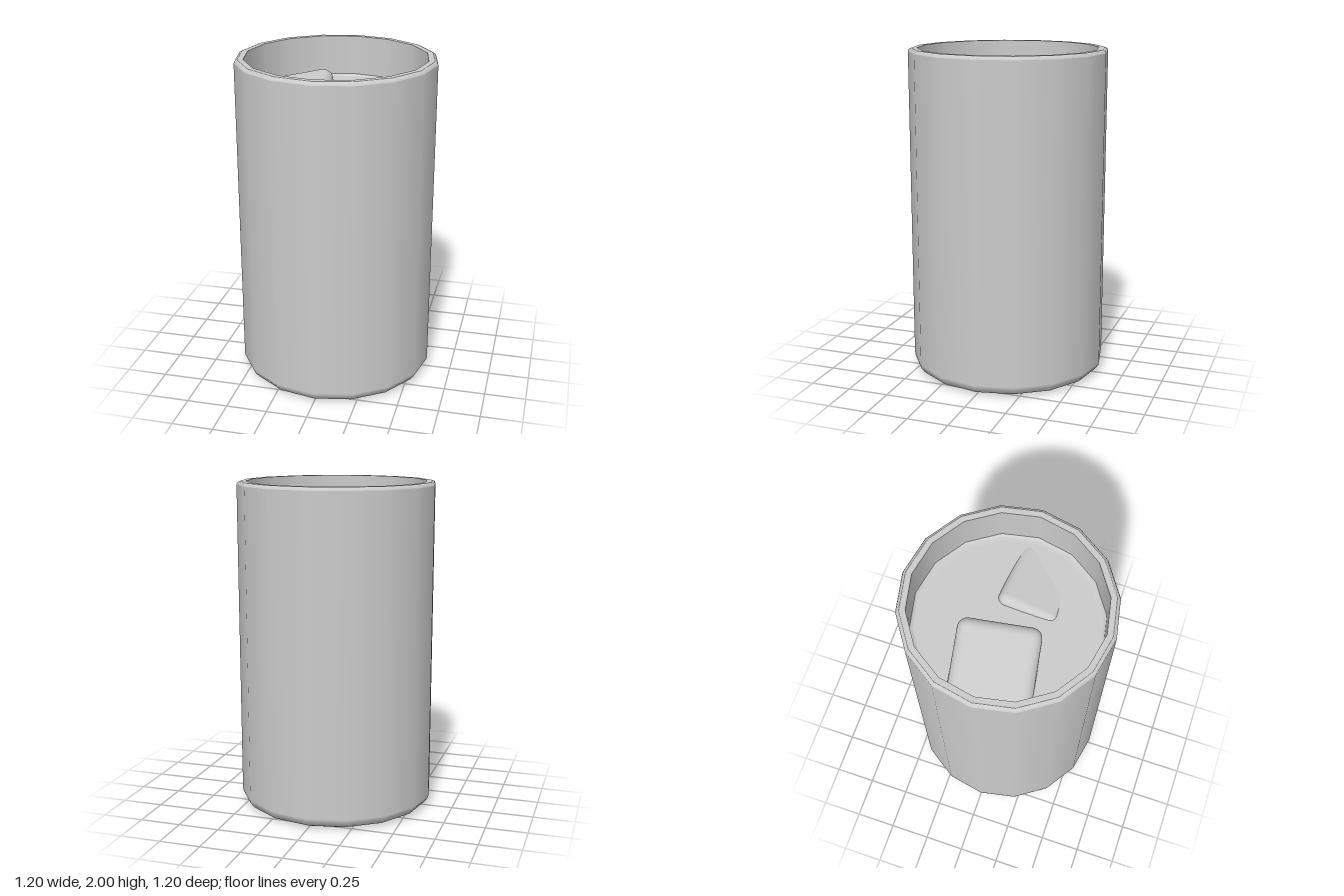
import * as THREE from 'three';
import { mergeGeometries } from 'three/addons/utils/BufferGeometryUtils.js';
import { RoundedBoxGeometry } from 'three/addons/geometries/RoundedBoxGeometry.js';

const SIDES = 16;
const LIQUID = 1.745;
const material = new THREE.MeshStandardMaterial({ color: 0xcccccc });

// Each section is smooth in itself; the joins between sections stay sharp.
function lathe(sections) {
  return mergeGeometries(sections.map((points) =>
    new THREE.LatheGeometry(points.map(([r, y]) => new THREE.Vector2(r, y)), SIDES)));
}

function part(name, geometry) {
  const mesh = new THREE.Mesh(geometry, material);
  mesh.name = name;
  return mesh;
}

export function createModel() {
  const group = new THREE.Group();
  group.name = 'glassOfIcedDrink';

  // Tumbler: base, rounded foot and wall, rim, inside wall and floor
  group.add(part('glass', lathe([
    [[0, 0], [0.53, 0]],
    [[0.53, 0], [0.575, 0.02], [0.597, 0.05], [0.6, 0.07], [0.6, 1.98]],
    [[0.6, 1.98], [0.594, 1.994], [0.58, 2]],
    [[0.58, 2], [0.545, 2]],
    [[0.545, 2], [0.545, 0.1]],
    [[0.545, 0.1], [0, 0.1]],
  ])));

  // Drink, with its edge creeping up the glass
  group.add(part('drink', lathe([
    [[0, 0.11], [0.54, 0.11]],
    [[0.54, 0.11], [0.54, LIQUID]],
    [[0.545, LIQUID + 0.012], [0.53, LIQUID + 0.002]],
    [[0.53, LIQUID + 0.002], [0.51, LIQUID]],
    [[0.51, LIQUID], [0, LIQUID]],
  ])));

  // Large ice cube, tilted with its right side up
  const large = part('largeIceCube', new RoundedBoxGeometry(0.47, 0.47, 0.47, 4, 0.06));
  large.position.set(-0.235, 1.595, 0);
  large.rotation.set(0.03, 0.17, 0.2, 'YXZ');
  group.add(large);

  // Small ice cube, mostly sunk; it hangs from its highest corner
  const small = part('smallIceCube',
    new RoundedBoxGeometry(0.42, 0.36, 0.36, 4, 0.05).translate(0.21, -0.18, 0.18));
  small.position.set(0.1, 1.797, -0.1);
  small.rotation.set(0.1, -0.08, -0.12, 'YXZ');
  group.add(small);

  return group;
}
